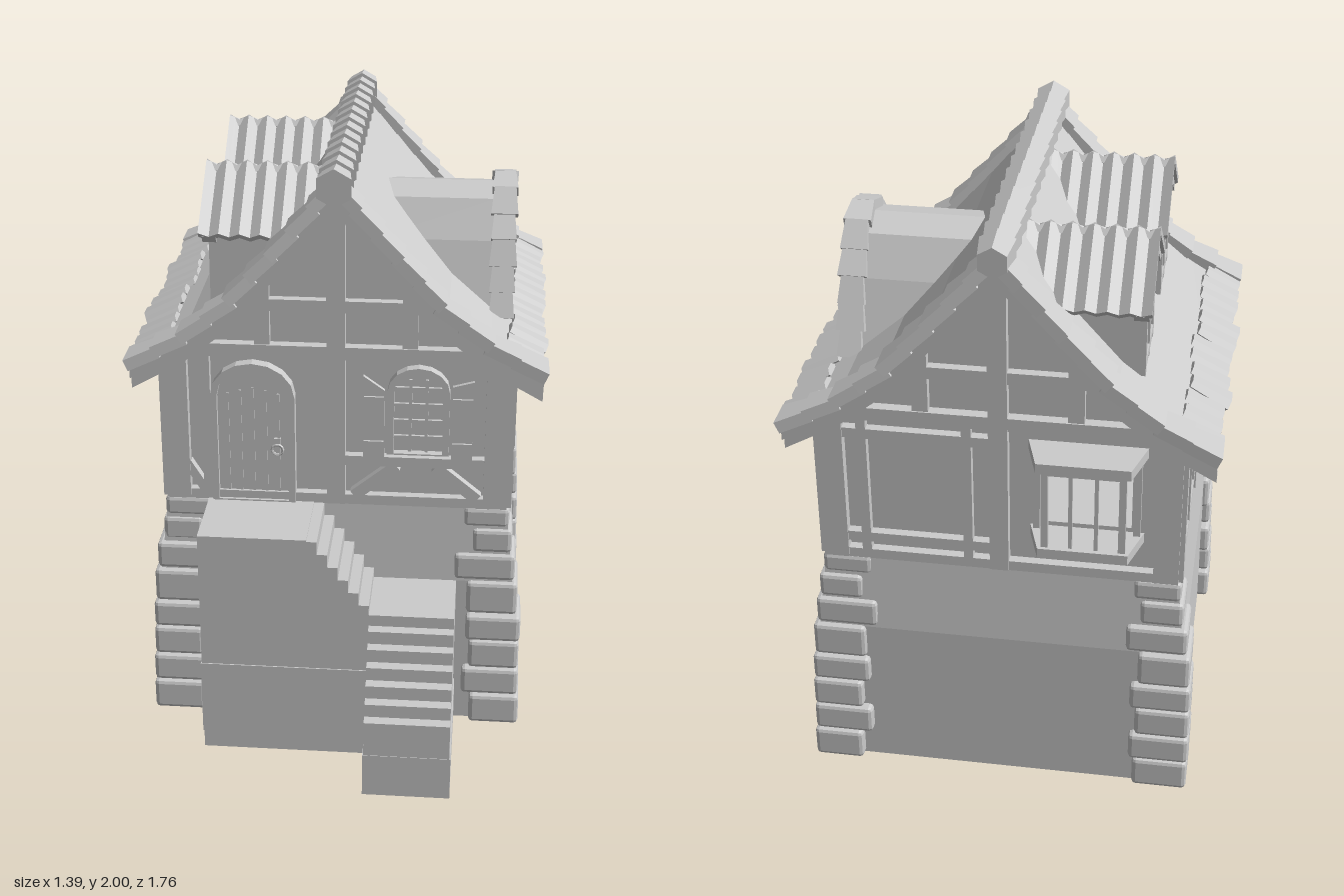
import * as THREE from 'three';
import { RoundedBoxGeometry } from 'three/addons/geometries/RoundedBoxGeometry.js';

const mat = new THREE.MeshStandardMaterial({ color: 0xcccccc, flatShading: true, side: THREE.DoubleSide });
let seed = 7;
const rnd = () => (seed = (seed * 16807) % 2147483647) / 2147483647;
const jit = a => (rnd() - 0.5) * 2 * a;

function add(parent, name, geo, x = 0, y = 0, z = 0) {
  const m = new THREE.Mesh(geo, mat);
  m.name = name;
  m.position.set(x, y, z);
  parent.add(m);
  return m;
}
function group(parent, name, x = 0, y = 0, z = 0, ry = 0) {
  const g = new THREE.Group();
  g.name = name;
  g.position.set(x, y, z);
  g.rotation.y = ry;
  parent.add(g);
  return g;
}
const box = (p, name, w, h, d, x, y, z) => add(p, name, new THREE.BoxGeometry(w, h, d), x, y, z);
const poly = pts => new THREE.Shape(pts.map(p => new THREE.Vector2(p[0], p[1])));
const extrude = (shape, depth) => new THREE.ExtrudeGeometry(shape, { depth, bevelEnabled: false, curveSegments: 6 });
const mirror = pts => [...pts.map(([x, y]) => [-x, y]).reverse(), ...pts];
const rect = (x, y, w, h) => [[x - w / 2, y], [x + w / 2, y], [x + w / 2, y + h], [x - w / 2, y + h]];

// Timber lying on a wall, from point to point
function bar(p, name, x1, y1, x2, y2, w = 0.045, d = 0.035) {
  const m = box(p, name, Math.hypot(x2 - x1, y2 - y1), w, d, (x1 + x2) / 2, (y1 + y2) / 2, d / 2 - 0.005);
  m.rotation.z = Math.atan2(y2 - y1, x2 - x1);
}
// Outline with a round top
function arch(w, h) {
  const r = w / 2, rise = r * 0.85;
  const pts = [[-r, 0], [r, 0]];
  for (let i = 0; i <= 8; i++) pts.push([r * Math.cos(i * Math.PI / 8), h - rise + rise * Math.sin(i * Math.PI / 8)]);
  return pts;
}
function archFrame(p, name, w, h, t, d, x, y, z) {
  const s = poly(arch(w + 2 * t, h + t));
  s.holes.push(poly(arch(w, h).map(q => [q[0], q[1] + 0.005])));
  add(p, name, extrude(s, d), x, y, z);
}
function archWindow(p, w, h, x, y, z) {
  const g = group(p, 'archedWindow', x, y, z);
  archFrame(g, 'windowFrame', w, h, 0.022, 0.035, 0, 0, 0);
  add(g, 'glass', extrude(poly(arch(w, h)), 0.008));
  for (const k of [-1, 1]) box(g, 'muntin', 0.01, h * 0.9, 0.016, k * w / 6, h * 0.46, 0.01);
  for (let i = 1; i < 5; i++) box(g, 'muntin', w, 0.01, 0.016, 0, h * i / 5, 0.01);
}
// Roof tile lying along x, wider at its lower end
function tileGeo(len, w, t) {
  const g = new THREE.BoxGeometry(len, t, w), a = g.attributes.position;
  for (let i = 0; i < a.count; i++) if (a.getX(i) < 0) a.setZ(i, a.getZ(i) * 0.8);
  return g;
}
// Tiles set along a polyline
function tileRun(p, name, pts, n, w, t, z, tilt) {
  const path = new THREE.CurvePath();
  pts.slice(1).forEach((q, i) => path.add(new THREE.LineCurve(new THREE.Vector2(...pts[i]), new THREE.Vector2(...q))));
  const len = path.getLength() / n;
  for (let i = 0; i < n; i++) {
    const c = path.getPoint((i + 0.5) / n), d = path.getTangent((i + 0.5) / n);
    const m = add(p, name, tileGeo(len * 1.12, w + jit(0.008), t), c.x, c.y, z);
    m.rotation.z = Math.atan2(d.y, d.x) + tilt;
  }
}

const ROOF = [[0, 1.93], [0.2, 1.695], [0.36, 1.515], [0.5, 1.405], [0.67, 1.31]];
const lower = dy => ROOF.map(([x, y]) => [x, y - dy]);

function stoneBase(house) {
  const R = Math.SQRT2;
  const prof = [[0.44, 0], [0.6, 0], [0.6, 0.55], [0.57, 0.82], [0.5, 0.82], [0.44, 0.55], [0.44, 0]];
  const g = new THREE.LatheGeometry(prof.map(([r, y]) => new THREE.Vector2(r * R, y)), 4);
  add(house, 'baseWall', g.rotateY(Math.PI / 4));
  box(house, 'floor', 1.08, 0.03, 1.08, 0, 0.8, 0);
  // Stone corner piers, stepped inward toward the top
  const ys = [0, 0.115, 0.22, 0.33, 0.43, 0.555, 0.655, 0.745, 0.82];
  const outer = [0.635, 0.635, 0.632, 0.63, 0.622, 0.61, 0.592, 0.58];
  for (const sx of [-1, 1]) for (const sz of [-1, 1]) for (let i = 0; i < 8; i++) {
    const o = outer[i] + jit(0.004), base = i > 5 ? 0.14 : 0.175;
    const w = base + (i % 2 ? 0.02 : 0) + jit(0.01), d = base + (i % 2 ? 0 : 0.02) + jit(0.01);
    const h = ys[i + 1] - ys[i] - 0.004;
    add(house, 'cornerStone', new RoundedBoxGeometry(w, h, d, 1, 0.014),
      sx * (o - w / 2), (ys[i] + ys[i + 1]) / 2, sz * (o - d / 2));
  }
}

function gableWall(house, name, z, ry, hole) {
  const g = group(house, name, 0, 0, z, ry);
  const top = ROOF.slice(0, 4).map(([x, y]) => [x, y - 0.03]).reverse();
  const s = poly(mirror([...top.reverse(), [0.55, 1.345], [0.55, 0.8]]).filter((p, i, a) => !i || p[0] !== a[i - 1][0] || p[1] !== a[i - 1][1]));
  if (hole) s.holes.push(poly(hole));
  add(g, 'wallPanel', extrude(s, 0.04), 0, 0, -0.04);
  // Rafters following the roof
  add(g, 'rafters', extrude(poly([...mirror(lower(0.03).slice(1)), ...mirror(lower(0.085).slice(1)).reverse()].length ?
    [...mirror(lower(0.03)).filter((p, i) => i !== 4), ...mirror(lower(0.085)).filter((p, i) => i !== 4).reverse()] : []), 0.045));
  for (const s of [-1, 1]) {
    bar(g, 'cornerPost', s * 0.53, 0.82, s * 0.53, 1.36, 0.08, 0.04);
    bar(g, 'gablePost', s * 0.24, 1.38, s * 0.24, 1.63, 0.05);
    bar(g, 'gableBeam', s * 0.03, 1.525, s * 0.33, 1.525, 0.04);
  }
  bar(g, 'centrePost', 0, 0.82, 0, 1.9, 0.06, 0.042);
  bar(g, 'tieBeam', -0.58, 1.365, 0.58, 1.365, 0.045, 0.04);
  bar(g, 'sillBeam', -0.55, 0.835, 0.55, 0.835, 0.035);
  return g;
}

function sideWall(house, name, x, ry, balusters) {
  const g = group(house, name, x, 0, 0, ry);
  const s = poly(rect(0, 0.8, 1.1, 0.56));
  for (const k of [-1, 1]) s.holes.push(poly(rect(k * 0.27, 1.01, 0.4, 0.24)));
  add(g, 'wallPanel', extrude(s, 0.04), 0, 0, -0.04);
  bar(g, 'sillBeam', -0.55, 0.835, 0.55, 0.835, 0.035);
  bar(g, 'windowRail', -0.55, 0.975, 0.55, 0.975, 0.035);
  bar(g, 'topPlate', -0.55, 1.31, 0.55, 1.31, 0.05);
  bar(g, 'middlePost', 0, 0.82, 0, 1.34, 0.06, 0.042);
  for (const k of [-1, 1]) {
    const c = k * 0.27;
    bar(g, 'cornerPost', k * 0.535, 0.82, k * 0.535, 1.34, 0.07, 0.04);
    for (const e of [-0.2, 0, 0.2]) bar(g, 'windowUpright', c + e, 1.0, c + e, 1.26, 0.022, 0.045);
    for (const y of [1.01, 1.25]) bar(g, 'windowEdge', c - 0.21, y, c + 0.21, y, 0.022, 0.045);
    if (balusters) for (let i = -4; i <= 4; i++) bar(g, 'slat', c + i * 0.05, 0.84, c + i * 0.05, 0.97, 0.02, 0.025);
    else for (const e of [-1, 1]) bar(g, 'brace', c + e * 0.2, 0.85, c + e * 0.06, 0.965, 0.035, 0.03);
  }
}

function bayWindow(wall) {
  const g = group(wall, 'bayWindow', 0.275, 0, 0);
  const slab = (name, y, h, e) => add(g, name, extrude(poly([[-0.17 - e, 0], [0.17 + e, 0], [0.13 + e, 0.12 + e], [-0.13 - e, 0.12 + e]]), h).rotateX(Math.PI / 2), 0, y, 0);
  slab('bayRoof', 1.3, 0.035, 0.015);
  slab('bayTopRail', 1.265, 0.015, 0);
  slab('baySill', 0.985, 0.035, 0.01);
  for (const s of [-1, 1]) {
    box(g, 'bayPost', 0.022, 0.3, 0.022, s * 0.12, 1.12, 0.108);
    box(g, 'bayWallPost', 0.022, 0.3, 0.022, s * 0.158, 1.12, 0.011);
    const b = box(g, 'bayBracket', 0.035, 0.03, 0.13, s * 0.1, 0.925, 0.05);
    b.rotation.x = -0.6;
  }
  for (const x of [-0.04, 0.04]) box(g, 'bayMullion', 0.012, 0.3, 0.015, x, 1.12, 0.108);
}

function roof(house) {
  const outline = [...mirror(ROOF).filter((p, i) => i !== 4), ...mirror(lower(0.04)).filter((p, i) => i !== 4).reverse()];
  add(house, 'roofPanel', extrude(poly(outline), 1.24), 0, 0, -0.62);
  for (const ry of [0, Math.PI]) {
    const g = group(house, 'roofSlope', 0, 0, 0, ry);
    for (const z of [-0.585, 0.585]) tileRun(g, 'vergeTile', lower(-0.012), 9, 0.115, 0.04, z, 0.1);
    // Rounded tiles along the eave
    for (let i = 0; i < 13; i++) {
      const t = new THREE.CylinderGeometry(0.036, 0.05, 0.13 + jit(0.015), 6).rotateZ(Math.PI / 2).scale(1, 0.5, 1);
      t.rotateY(0);
      const m = add(g, 'eaveTile', t, 0.615 + jit(0.01), 1.345, -0.52 + i * 1.04 / 12);
      m.rotation.z = Math.PI - 0.5;
      m.scale.x = -1;
    }
  }
  for (let i = 0; i < 13; i++) {
    const t = new THREE.CylinderGeometry(0.05, 0.063, 0.105, 6).rotateX(-Math.PI / 2);
    add(house, 'ridgeTile', t, 0, 1.937, 0.588 - i * 0.098);
  }
}

function archedDormer(house) {
  const g = group(house, 'archedDormer', 0, 0, 0, Math.PI / 2);
  const half = [[0, 1.775], [0.11, 1.745], [0.18, 1.62], [0.265, 1.37]];
  add(g, 'dormerBody', extrude(poly(mirror(half).filter((p, i) => i !== 3)), 0.4), 0, 0, 0.1);
  add(g, 'dormerFront', extrude(poly([[-0.2, 1.38], [0.2, 1.38], [0.13, 1.62], [0, 1.72], [-0.13, 1.62]]), 0.02), 0, 0, 0.5);
  for (const ry of [0, Math.PI]) {
    const s = group(g, 'dormerTrim', 0, 0, 0.53, ry);
    tileRun(s, 'dormerTile', [[0, 1.795], [0.1, 1.755], [0.185, 1.62], [0.27, 1.385]], 6, 0.09, 0.035, 0, 0.08);
    for (const [a, b] of [[[0.215, 1.37], [0.135, 1.62]], [[0.135, 1.62], [0, 1.72]]])
      bar(s, 'dormerFrame', ...a, ...b, 0.03, 0.02);
  }
  box(g, 'dormerSill', 0.46, 0.025, 0.05, 0, 1.385, 0.535);
  archWindow(g, 0.15, 0.27, 0, 1.4, 0.515);
}

function gableDormer(house, z) {
  const g = group(house, 'gableDormer', 0, 0, z, -Math.PI / 2);
  add(g, 'dormerBody', extrude(poly([[-0.14, 1.45], [0.14, 1.45], [0.14, 1.77], [0, 1.875], [-0.14, 1.77]]), 0.3), 0, 0, 0.1);
  const f = group(g, 'dormerWindow', 0, 0, 0.4);
  for (const x of [-0.125, 0, 0.125]) bar(f, 'windowPost', x, 1.47, x, 1.75, 0.03);
  for (const y of [1.5, 1.74]) bar(f, 'windowRail', -0.14, y, 0.14, y, 0.03);
  for (const x of [-0.0625, 0.0625]) bar(f, 'muntin', x, 1.5, x, 1.74, 0.01, 0.02);
  bar(f, 'muntin', -0.12, 1.62, 0.12, 1.62, 0.01, 0.02);
  // Wavy roof sheets
  const up = [], n = 24, L = 0.4;
  for (let i = 0; i <= n; i++) up.push([-L / 2 + i * L / n, 0.01 * Math.cos(i * Math.PI / 2)]);
  const sheet = extrude(poly([...up, ...up.map(([x, y]) => [x, y - 0.022]).reverse()]), 0.285);
  for (const s of [-1, 1]) {
    const side = group(g, 'dormerRoof', 0, 1.9, 0.25, s * Math.PI / 2);
    add(side, 'wavySheet', sheet).rotation.x = 0.66;
    bar(f, 'bargeBoard', 0, 1.865, s * 0.21, 1.705, 0.03, 0.045);
  }
}

function stairs(root) {
  const g = group(root, 'stairs');
  // Upper landing with steps going down sideways
  const a = [[-0.43, 0], [0.13, 0], [0.13, 0.55]];
  for (let i = 0; i < 6; i++) a.push([0.13 - i * 0.034, 0.585 + i * 0.046], [0.096 - i * 0.034, 0.585 + i * 0.046]);
  a.push([-0.074, 0.82], [-0.43, 0.82]);
  add(g, 'upperLanding', extrude(poly(a), 0.29), 0, 0, 0.36);
  box(g, 'landingCourse', 0.566, 0.27, 0.29, -0.15, 0.2, 0.509);
  // Lower landing with steps going down to the front
  const b = [[-0.36, 0], [-0.36, 0.55], [-0.65, 0.55]];
  for (let i = 0; i < 6; i++) b.push([-0.65 - i * 0.037, 0.51 - i * 0.046], [-0.687 - i * 0.037, 0.51 - i * 0.046]);
  b.push([-0.872, 0]);
  const m = add(g, 'lowerFlight', extrude(poly(b), 0.28), 0.13, 0, 0);
  m.rotation.y = Math.PI / 2;
  box(g, 'flightCourse', 0.288, 0.155, 0.5, 0.27, 0.0775, 0.624);
}

export function createModel() {
  const root = new THREE.Group();
  root.name = 'house';
  const house = group(root, 'building', 0, 0, -0.197);
  stoneBase(house);

  // Front: door, shuttered window and braces
  const front = gableWall(house, 'frontWall', 0.55, 0);
  add(front, 'door', extrude(poly(arch(0.235, 0.48)), 0.02), -0.275, 0.82, 0);
  archFrame(front, 'doorFrame', 0.235, 0.48, 0.022, 0.04, -0.275, 0.82, 0);
  for (let i = -2; i <= 2; i++) box(front, 'doorStrip', 0.008, 0.4 - Math.abs(i) * 0.02, 0.008, -0.275 + i * 0.042, 1.03, 0.021);
  add(front, 'doorRing', new THREE.TorusGeometry(0.018, 0.005, 5, 10), -0.195, 1.01, 0.03);
  box(front, 'handlePlate', 0.022, 0.03, 0.012, -0.195, 1.035, 0.024);
  bar(front, 'doorPost', -0.43, 0.82, -0.43, 1.36, 0.03);
  bar(front, 'doorBrace', -0.5, 0.95, -0.44, 0.85, 0.03);
  bar(front, 'windowRail', 0.03, 0.98, 0.5, 0.98, 0.035);
  bar(front, 'brace', 0.06, 0.85, 0.2, 0.965, 0.04);
  bar(front, 'brace', 0.47, 0.85, 0.33, 0.965, 0.04);
  archWindow(front, 0.16, 0.29, 0.27, 1.01, 0);
  for (const s of [-1, 1]) {
    const sh = group(front, 'shutter', 0.27 + s * 0.145, 0, 0.02);
    add(sh, 'shutterBoard', extrude(poly([[-0.035, 1.0], [0.035, 1.0], [0.035, 1.26 + s * 0.02], [-0.035, 1.26 - s * -0.0 + (s < 0 ? 0.03 : 0)]]), 0.015));
    for (const y of [1.05, 1.21]) box(sh, 'shutterBatten', 0.066, 0.02, 0.01, 0, y, 0.018);
  }

  // Back: panelled half and bay window
  const back = gableWall(house, 'backWall', -0.55, Math.PI, rect(0.275, 1.0, 0.28, 0.25));
  bayWindow(back);
  bar(back, 'panelRail', -0.5, 1.29, -0.03, 1.29, 0.035);
  bar(back, 'panelRail', -0.5, 0.9, -0.03, 0.9, 0.035);
  for (const x of [-0.43, -0.1]) bar(back, 'panelUpright', x, 0.84, x, 1.35, 0.03);

  sideWall(house, 'leftWall', 0.55, Math.PI / 2, false);
  sideWall(house, 'rightWall', -0.55, -Math.PI / 2, true);
  roof(house);
  archedDormer(house);
  for (const z of [-0.27, 0.27]) gableDormer(house, z);
  stairs(root);
  return root;
}
